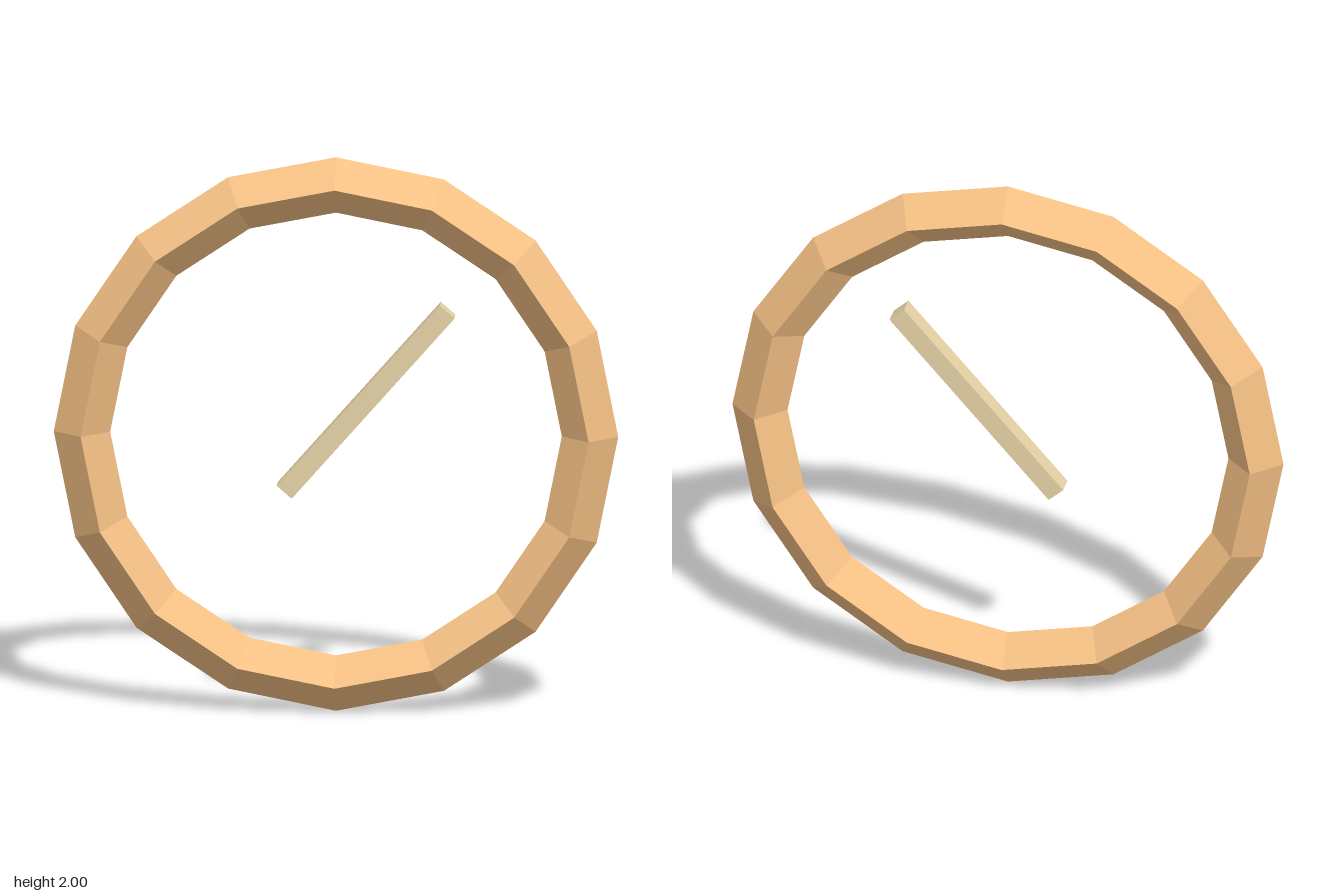
import * as THREE from 'three';

export function createModel() {
  const model = new THREE.Group();
  const material = (color) => new THREE.MeshStandardMaterial({ color, flatShading: true });

  // Sixteen-sided hoop with a diamond cross-section
  const ring = new THREE.Mesh(new THREE.TorusGeometry(0.9, 0.1, 4, 16), material(0xf4c084));
  ring.name = 'ring';
  ring.position.y = 1;
  model.add(ring);

  // Slanted square stick floating inside the hoop
  const stick = new THREE.Mesh(new THREE.BoxGeometry(0.875, 0.07, 0.07), material(0xe8d4a8));
  stick.name = 'stick';
  stick.position.set(0.107, 1.123, 0);
  stick.rotation.z = THREE.MathUtils.degToRad(48.7);
  model.add(stick);

  return model;
}
